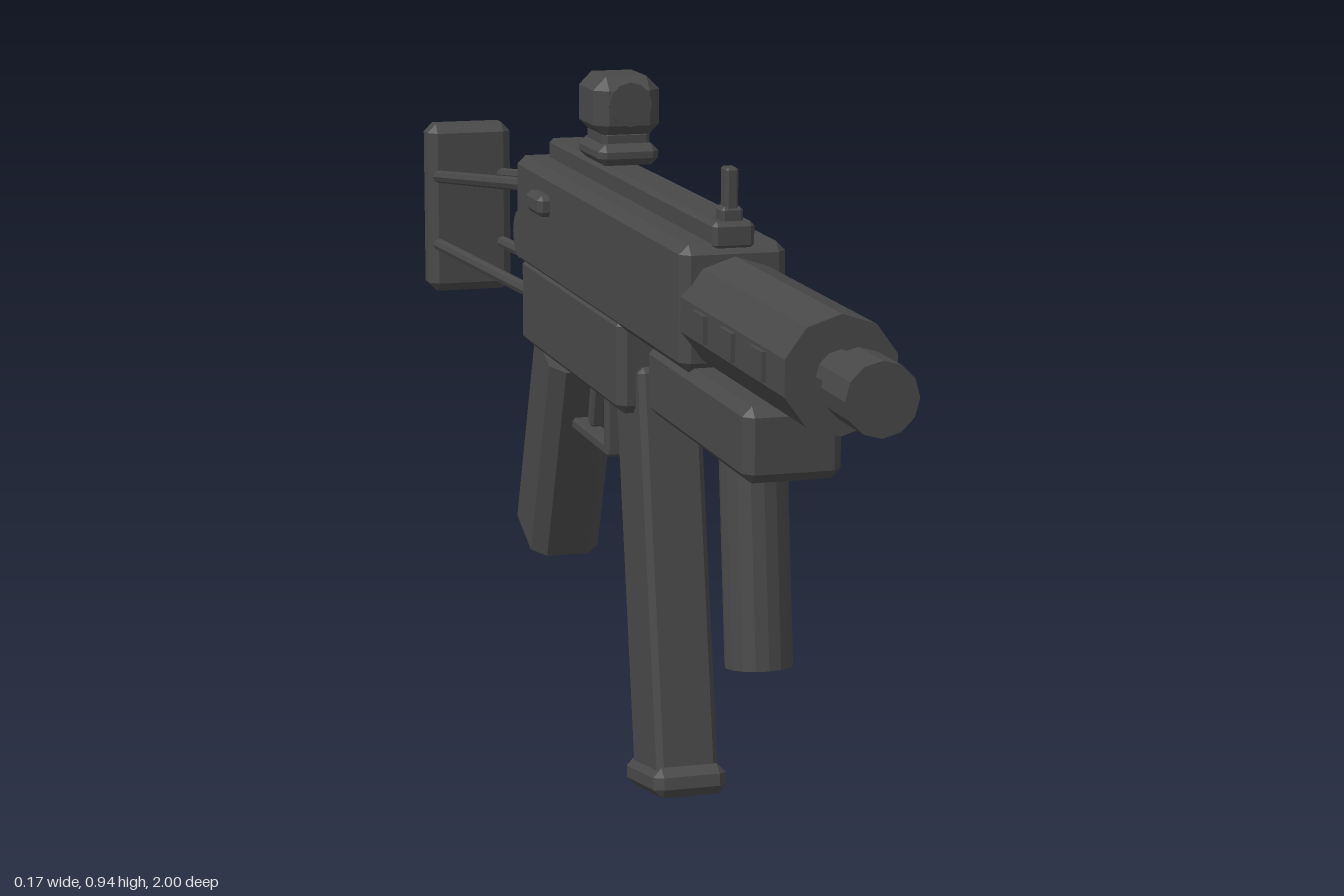
import * as THREE from 'three';
import { ConvexGeometry } from 'three/addons/geometries/ConvexGeometry.js';

// Box with flat chamfers on every edge
function chamferBox(w, h, d, b) {
  const x = w / 2, y = h / 2, z = d / 2, pts = [];
  for (const i of [-1, 1]) for (const j of [-1, 1]) for (const k of [-1, 1]) {
    pts.push(new THREE.Vector3(i * x, j * (y - b), k * (z - b)));
    pts.push(new THREE.Vector3(i * (x - b), j * y, k * (z - b)));
    pts.push(new THREE.Vector3(i * (x - b), j * (y - b), k * z));
  }
  return new ConvexGeometry(pts);
}

// Faceted cylinder along z
function barrelGeometry(radius, length, sides) {
  return new THREE.CylinderGeometry(radius, radius, length, sides).rotateX(Math.PI / 2);
}

export function createModel() {
  const group = new THREE.Group();
  const gunmetal = new THREE.MeshStandardMaterial({ color: 0x484848 });
  gunmetal.name = 'dark grey';
  gunmetal.flatShading = true;

  function add(name, geometry, x, y, z, tilt = 0, parent = group) {
    const mesh = new THREE.Mesh(geometry, gunmetal);
    mesh.name = name;
    mesh.position.set(x, y, z);
    mesh.rotation.x = tilt;
    parent.add(mesh);
    return mesh;
  }
  // Box given by half width and its y and z ranges
  const block = (name, hw, y0, y1, z0, z1, b) =>
    add(name, chamferBox(hw * 2, y1 - y0, z1 - z0, b), 0, (y0 + y1) / 2, (z0 + z1) / 2);
  // Rod between two points
  function rod(name, a, b, radius, sides = 8) {
    const mesh = add(name, new THREE.CylinderGeometry(radius, radius, a.distanceTo(b), sides), 0, 0, 0);
    mesh.position.copy(a).add(b).multiplyScalar(0.5);
    mesh.quaternion.setFromUnitVectors(new THREE.Vector3(0, 1, 0), b.clone().sub(a).normalize());
  }

  // Body
  block('upperReceiver', 0.068, 0.63, 0.788, -0.37, 0.47, 0.012);
  block('lowerReceiver', 0.066, 0.516, 0.645, -0.35, 0.175, 0.012);
  block('foregripMount', 0.061, 0.543, 0.635, 0.29, 0.705, 0.012);
  add('ejectionPort', chamferBox(0.024, 0.068, 0.165, 0.006), 0.069, 0.715, -0.032);
  add('chargingKnob', chamferBox(0.03, 0.03, 0.075, 0.007), -0.07, 0.741, -0.208);
  add('rearPivot', new THREE.CylinderGeometry(0.035, 0.035, 0.13, 12).rotateZ(Math.PI / 2), 0, 0.672, -0.363);

  // Handguard with side vents, barrel and muzzle
  add('handguard', barrelGeometry(0.07, 0.41, 10), 0, 0.703, 0.66);
  for (const side of [-1, 1]) for (const z of [0.55, 0.66, 0.775])
    add('handguardVent', new THREE.BoxGeometry(0.012, 0.035, 0.045), side * 0.066, 0.703, z);
  add('barrel', barrelGeometry(0.03, 0.1, 12), 0, 0.703, 0.89);
  add('muzzle', barrelGeometry(0.043, 0.08, 12), 0, 0.703, 0.96);

  // Top rail, sight and optic
  block('topRail', 0.027, 0.78, 0.815, -0.337, 0.467, 0.006);
  block('frontSight', 0.008, 0.81, 0.88, 0.432, 0.458, 0.003);
  block('frontSightBase', 0.014, 0.81, 0.832, 0.43, 0.46, 0.004);
  block('opticBase', 0.042, 0.819, 0.848, -0.12, 0, 0.01);
  block('opticNeck', 0.033, 0.84, 0.865, -0.105, -0.015, 0.006);
  block('opticBody', 0.046, 0.855, 0.938, -0.113, -0.003, 0.018);
  add('opticLens', barrelGeometry(0.03, 0.1, 12), 0, 0.902, -0.048);

  // Foregrip
  rod('foregrip', new THREE.Vector3(0, 0.585, 0.542), new THREE.Vector3(0, 0.284, 0.576), 0.042, 16);

  // Tilted magazine with its floor plate
  const magazine = new THREE.Group();
  magazine.name = 'magazine';
  magazine.position.set(0, 0.305, 0.176);
  magazine.rotation.x = -0.175;
  group.add(magazine);
  add('magazineBody', chamferBox(0.084, 0.54, 0.125, 0.008), 0, 0, 0, 0, magazine);
  add('magazineFloor', chamferBox(0.1, 0.04, 0.153, 0.012), 0, -0.276, 0, 0, magazine);

  // Rear grip: chamfered cross-section
  const w = 0.051, d = 0.064, c = 0.02;
  const section = new THREE.Shape([
    [w, d - c], [w - c, d], [c - w, d], [-w, d - c],
    [-w, c - d], [c - w, -d], [w - c, -d], [w, c - d],
  ].map(([x, y]) => new THREE.Vector2(x, y)));
  const grip = new THREE.ExtrudeGeometry(section, { depth: 0.32, bevelEnabled: false });
  grip.translate(0, 0, -0.16).rotateX(Math.PI / 2);
  add('rearGrip', grip, 0, 0.366, -0.343, 0.37);

  // Trigger and guard
  block('triggerGuardFront', 0.014, 0.405, 0.49, -0.09, -0.07, 0.004);
  block('triggerGuardBottom', 0.014, 0.402, 0.42, -0.27, -0.07, 0.004);
  add('trigger', chamferBox(0.02, 0.065, 0.02, 0.004), 0, 0.456, -0.173, 0.27);

  // Wire stock and butt plate
  for (const x of [-0.052, 0.052]) {
    rod('upperStockRod', new THREE.Vector3(x, 0.748, -0.33), new THREE.Vector3(x, 0.672, -0.96), 0.01);
    rod('lowerStockRod', new THREE.Vector3(x, 0.591, -0.33), new THREE.Vector3(x, 0.562, -0.96), 0.01);
  }
  block('buttPlate', 0.068, 0.485, 0.757, -1, -0.945, 0.014);

  return group;
}
